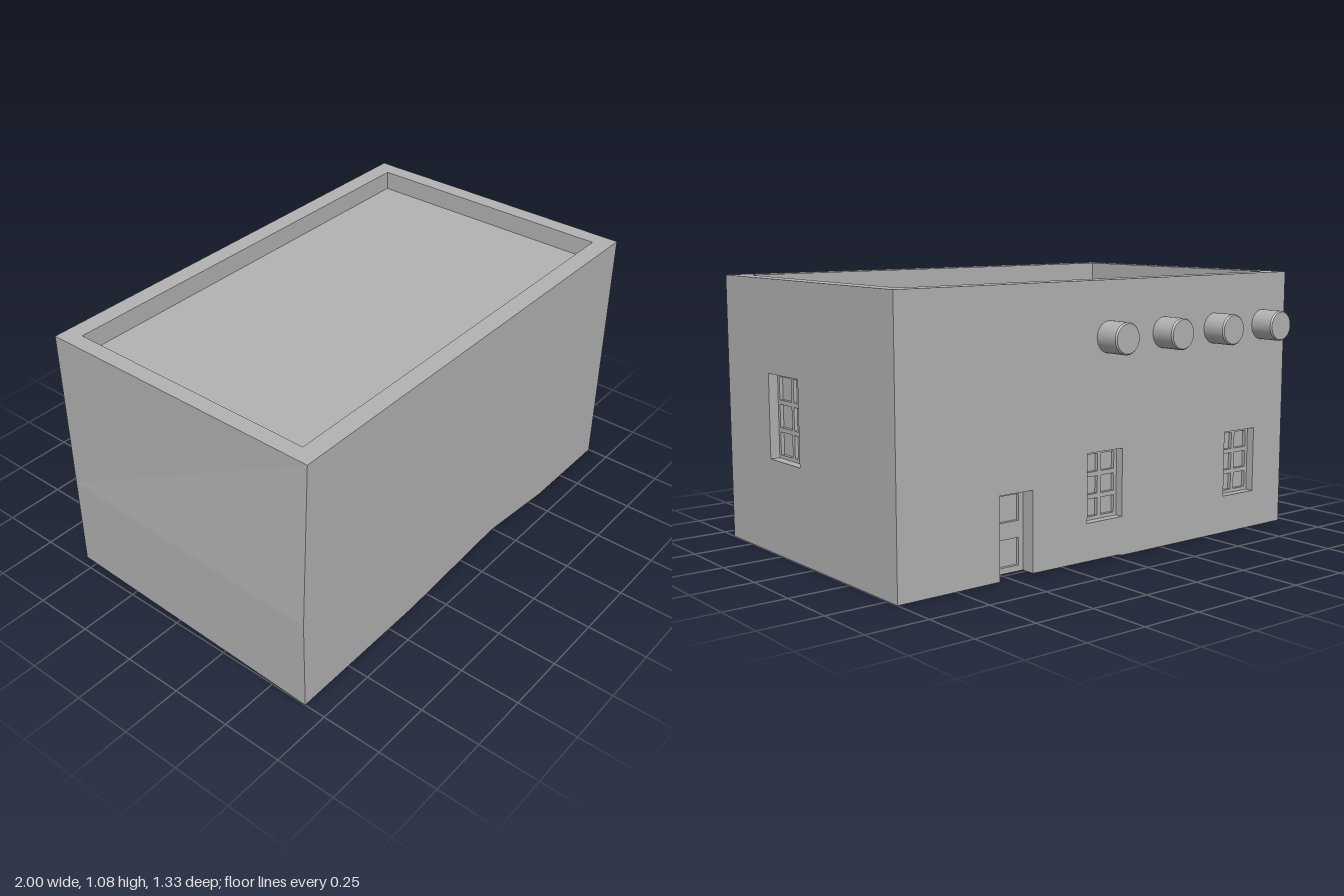
import * as THREE from 'three';

const H = 1.075, BACK = -0.56, FRONT = 0.66, LEFT = -0.965, ROOF = 0.995;

export function createModel() {
  const clay = new THREE.MeshStandardMaterial({ color: 0xb2b2b2, side: THREE.DoubleSide });
  clay.name = 'grey clay';
  const model = new THREE.Group();
  model.name = 'flatRoofedHouse';

  const add = (parent, name, geometry) => {
    const mesh = new THREE.Mesh(geometry, clay);
    mesh.name = name;
    parent.add(mesh);
    return mesh;
  };
  const poly = (pts) => new THREE.Shape(pts.map(([x, y]) => new THREE.Vector2(x, y)));
  const rect = (x0, y0, x1, y1) => poly([[x0, y0], [x1, y0], [x1, y1], [x0, y1]]);
  const extrude = (shape, depth) =>
    new THREE.ExtrudeGeometry(shape, { depth, bevelEnabled: false });

  // A sunken opening: reveal around it, a frame with cut panels, and a back sheet
  function opening(parent, name, [x0, y0, x1, y1], depth, panels, openBottom) {
    const g = new THREE.Group();
    g.name = name;
    parent.add(g);
    const t = 0.006;
    const reveal = openBottom
      ? poly([[x0 - t, y0], [x0, y0], [x0, y1], [x1, y1], [x1, y0], [x1 + t, y0], [x1 + t, y1 + t], [x0 - t, y1 + t]])
      : rect(x0 - t, y0 - t, x1 + t, y1 + t);
    if (!openBottom) reveal.holes.push(rect(x0, y0, x1, y1));
    add(g, name + 'Reveal', extrude(reveal, depth + 0.014)).position.z = -depth - 0.015;
    const frame = rect(x0, y0, x1, y1);
    panels.forEach((p) => frame.holes.push(rect(...p)));
    add(g, name + 'Frame', extrude(frame, 0.014)).position.z = -depth - 0.014;
    add(g, name + 'Panels', new THREE.ShapeGeometry(rect(x0, y0, x1, y1))).position.z = -depth - 0.014;
  }

  // Two columns by three rows of panes
  function panes([x0, y0, x1, y1]) {
    const list = [], edge = 0.014, bar = 0.018;
    const w = (x1 - x0 - 2 * edge - bar) / 2, h = (y1 - y0 - 2 * edge - 2 * bar) / 3;
    for (let c = 0; c < 2; c++) {
      for (let r = 0; r < 3; r++) {
        const x = x0 + edge + c * (w + bar), y = y0 + edge + r * (h + bar);
        list.push([x, y, x + w, y + h]);
      }
    }
    return list;
  }

  // Front wall with its uneven foot
  add(model, 'frontWall', new THREE.ShapeGeometry(poly([
    [-1, 0], [-0.36, 0.005], [0.2, 0.045], [0.58, 0.002], [1, 0], [1, H], [LEFT, H], [-1, 0.39],
  ]))).position.z = FRONT;

  // Side wall with one window; local x runs towards the back
  const side = new THREE.Group();
  side.name = 'windowSide';
  side.position.x = 1;
  side.rotation.y = Math.PI / 2;
  model.add(side);
  const sideWindow = [-0.325, 0.375, -0.095, 0.71];
  const sideShape = rect(-FRONT, 0, -BACK, H);
  sideShape.holes.push(rect(...sideWindow));
  add(side, 'sideWall', new THREE.ShapeGeometry(sideShape));
  opening(side, 'sideWindow', sideWindow, 0.04, panes(sideWindow));

  // Back wall with a doorway and two windows; local x is reversed
  const back = new THREE.Group();
  back.name = 'entranceSide';
  back.position.z = BACK;
  back.rotation.y = Math.PI;
  model.add(back);
  const backShape = poly([
    [-1, 0], [-0.56, 0.002], [-0.56, 0.32], [-0.405, 0.32], [-0.405, 0.007],
    [0.02, 0.005], [0.05, 0], [-LEFT, 0], [-LEFT, H], [-1, H],
  ]);
  const backWindows = [-0.14, 0.613].map((x) => [x, 0.155, x + 0.18, 0.425]);
  backWindows.forEach((w) => backShape.holes.push(rect(...w)));
  add(back, 'backWall', new THREE.ShapeGeometry(backShape));
  backWindows.forEach((w) => opening(back, 'backWindow', w, 0.035, panes(w)));
  opening(back, 'door', [-0.56, 0.007, -0.405, 0.32], 0.06,
    [[-0.54, 0.03, -0.425, 0.135], [-0.54, 0.2, -0.425, 0.3]], true);

  // Leaning side wall: its front edge swells outwards below a bend
  const lean = new THREE.BufferGeometry();
  lean.setAttribute('position', new THREE.Float32BufferAttribute([
    LEFT, 0, BACK, -1, 0, FRONT,
    LEFT, 0.39, BACK, -1, 0.39, FRONT,
    LEFT, H, BACK, LEFT, H, FRONT,
  ], 3));
  lean.setIndex([0, 1, 3, 0, 3, 2, 2, 3, 5, 2, 5, 4]);
  const leanFlat = lean.toNonIndexed();
  leanFlat.computeVertexNormals();
  add(model, 'leaningWall', leanFlat);

  // Parapet rim, its inner faces and the sunken roof
  const [ix0, ix1, iz0, iz1] = [-0.9, 0.93, -0.485, 0.585];
  const rimShape = rect(LEFT, -FRONT, 1, -BACK);
  rimShape.holes.push(rect(ix0, -iz1, ix1, -iz0));
  add(model, 'parapetRim', new THREE.ShapeGeometry(rimShape).rotateX(-Math.PI / 2)).position.y = H;
  const well = new THREE.CylinderGeometry(Math.SQRT1_2, Math.SQRT1_2, 1, 4, 1, true)
    .rotateY(Math.PI / 4).scale(ix1 - ix0, H - ROOF, iz1 - iz0).toNonIndexed();
  well.computeVertexNormals();
  add(model, 'parapetInside', well)
    .position.set((ix0 + ix1) / 2, (H + ROOF) / 2, (iz0 + iz1) / 2);
  add(model, 'roof', new THREE.ShapeGeometry(rect(ix0, -iz1, ix1, -iz0)).rotateX(-Math.PI / 2))
    .position.y = ROOF;

  // Round roof beams poking out of the back wall
  const beam = new THREE.CylinderGeometry(0.062, 0.062, 0.113, 28).rotateX(Math.PI / 2);
  const tip = new THREE.CylinderGeometry(0.062, 0.057, 0.006, 28).rotateX(Math.PI / 2);
  for (const x of [-0.825, -0.54, -0.255, 0.035]) {
    add(model, 'roofBeam', beam).position.set(x, 0.86, -0.6025);
    add(model, 'roofBeamTip', tip).position.set(x, 0.86, -0.662);
  }
  return model;
}
